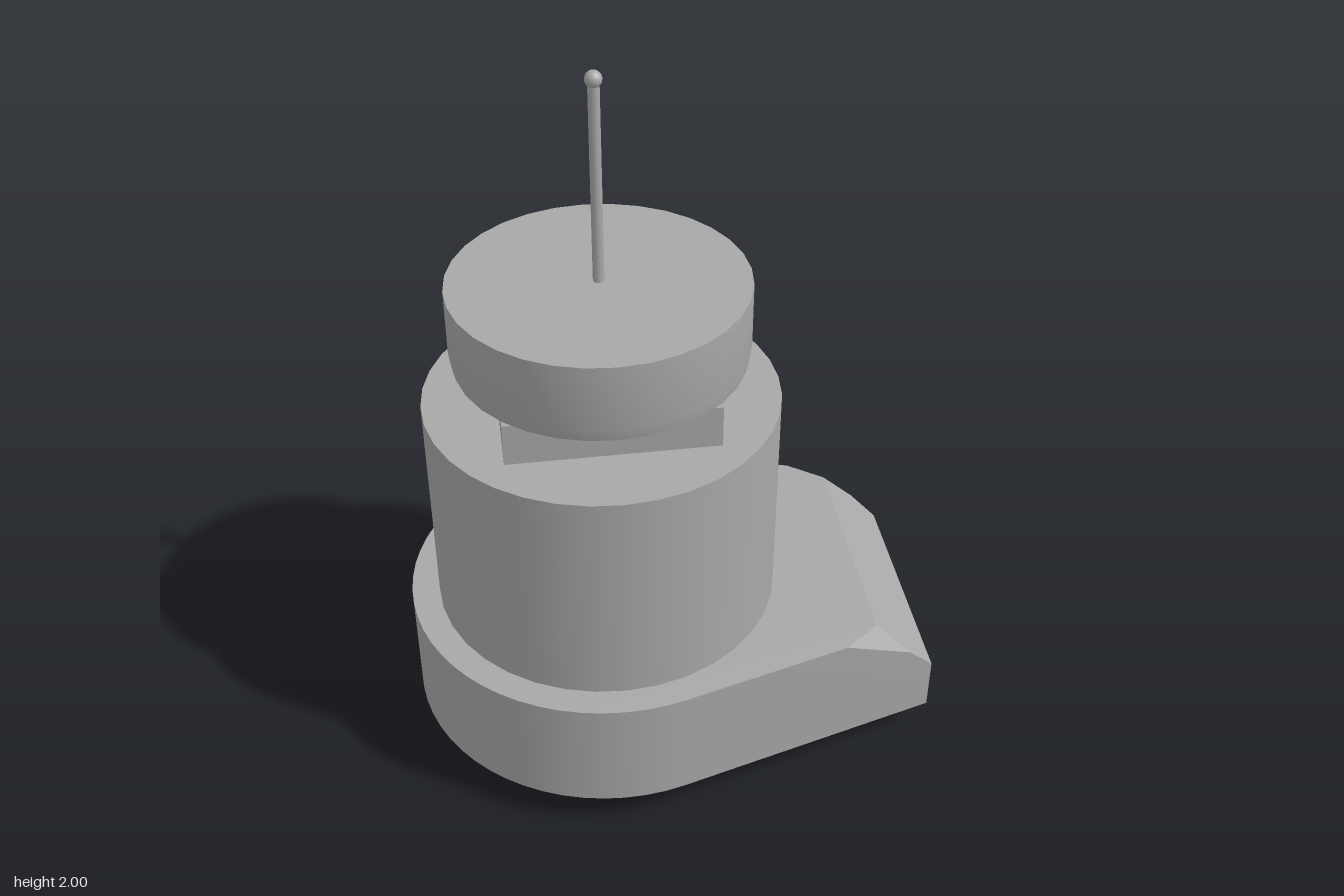
import * as THREE from 'three';
import { ConvexGeometry } from 'three/addons/geometries/ConvexGeometry.js';
import { toCreasedNormals } from 'three/addons/utils/BufferGeometryUtils.js';

const AXIS = -0.17; // x of the turned parts

export function createModel() {
  const group = new THREE.Group();
  const grey = new THREE.MeshStandardMaterial({ color: 0xa8a8a8 });
  grey.name = 'grey';

  const add = (name, geometry, x = 0, y = 0, z = 0) => {
    const mesh = new THREE.Mesh(geometry, grey);
    mesh.name = name;
    mesh.position.set(x, y, z);
    group.add(mesh);
  };
  const hull = (points, crease) => toCreasedNormals(
    new ConvexGeometry(points.map((p) => new THREE.Vector3(...p))), crease);

  // Teardrop base: round back, straight sides running tangent to a chamfered nose
  const base = [];
  const bottom = 0.1, top = 0.435, start = 1.302, steps = 36;
  for (let i = 0; i <= steps; i++) {
    const a = start + (i / steps) * 2 * (Math.PI - start);
    const x = AXIS + 0.56 * Math.cos(a), z = 0.56 * Math.sin(a);
    base.push([x, bottom, z], [x, top, z]);
  }
  for (const s of [1, -1]) {
    base.push([0.725, bottom, s * 0.335], [0.725, 0.26, s * 0.335],
      [0.65, 0.335, s * 0.355], [0.55, top, s * 0.335], [0.45, top, s * 0.41]);
  }
  // Faceted bulge on the back corner
  base.push([-0.37, bottom, -0.56], [-0.37, 0.38, -0.56]);
  add('base', hull(base, 0.3));

  // Main drum
  add('drum', new THREE.CylinderGeometry(0.482, 0.482, 0.64, 36), AXIS, 0.755);

  // Square neck under the knob
  add('neck', new THREE.BoxGeometry(0.56, 0.13, 0.56), AXIS, 1.13);

  // Knob with a shallow underside bevel
  const knobProfile = [[0, 1.18], [0.32, 1.18], [0.39, 1.205], [0.397, 1.24], [0.397, 1.425], [0, 1.425]]
    .map(([r, y]) => new THREE.Vector2(r, y));
  add('knob', toCreasedNormals(new THREE.LatheGeometry(knobProfile, 32), 0.5), AXIS);

  // Thin rod with ball tip
  add('rod', new THREE.CylinderGeometry(0.015, 0.015, 0.56, 16), AXIS, 1.7);
  add('rodTip', new THREE.SphereGeometry(0.022, 16, 12), AXIS, 1.978);

  // Locating foot: long octagon, tapered towards the ground
  const foot = [];
  for (const [y, hx, hz] of [[0.12, 0.083, 0.18], [0.05, 0.08, 0.178], [0.012, 0.068, 0.168], [0.004, 0.06, 0.16]]) {
    for (const sx of [1, -1]) for (const sz of [1, -1]) {
      foot.push([sx * hx, y, sz * (hz - 0.045)], [sx * (hx - 0.04), y, sz * hz]);
    }
  }
  add('foot', hull(foot, 0.5), 0.498);

  return group;
}
